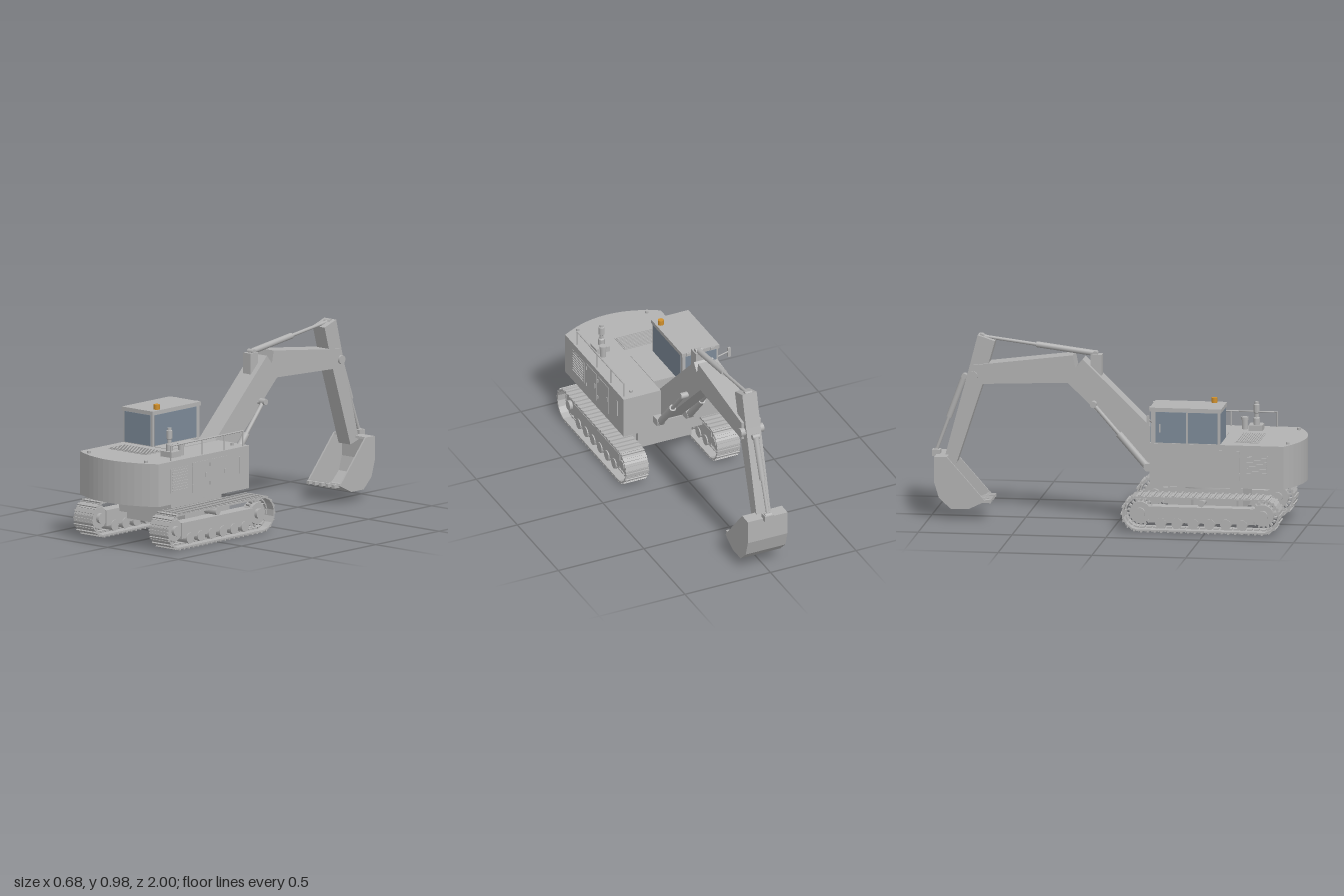
import * as THREE from 'three';
import { mergeGeometries } from 'three/addons/utils/BufferGeometryUtils.js';

const std = (name, color) => Object.assign(new THREE.MeshStandardMaterial({ color }), { name });

export function createModel() {
  const grey = std('grey paint', 0xb2b2b2);
  const glass = std('tinted glass', 0x7c8997);
  const amber = std('amber', 0xd0902c);

  const root = new THREE.Group();
  root.name = 'excavator';
  const machine = new THREE.Group();
  machine.name = 'machine';
  machine.position.x = 0.004;
  root.add(machine);

  const add = (name, geo, mat = grey, parent = machine) => {
    const m = new THREE.Mesh(geo, mat);
    m.name = name;
    parent.add(m);
    return m;
  };
  // box given by its limits on each axis
  const boxGeo = (x0, x1, y0, y1, z0, z1) =>
    new THREE.BoxGeometry(x1 - x0, y1 - y0, z1 - z0).translate((x0 + x1) / 2, (y0 + y1) / 2, (z0 + z1) / 2);
  const box = (name, lim, mat, parent) => add(name, boxGeo(...lim), mat, parent);
  // round bar between two points
  const rodGeo = (a, b, r, sides = 14) => {
    const p = new THREE.Vector3(...a), q = new THREE.Vector3(...b), d = q.clone().sub(p);
    const g = new THREE.CylinderGeometry(r, r, d.length(), sides);
    g.applyQuaternion(new THREE.Quaternion().setFromUnitVectors(new THREE.Vector3(0, 1, 0), d.normalize()));
    const c = p.add(q).multiplyScalar(0.5);
    return g.translate(c.x, c.y, c.z);
  };
  const rod = (name, a, b, r, mat, parent) => add(name, rodGeo(a, b, r), mat, parent);
  const shapeOf = pts => new THREE.Shape(pts.map(p => new THREE.Vector2(...p)));
  // side profile given as (z, y), extruded across x
  const profileGeo = (pts, width, x = 0) =>
    new THREE.ExtrudeGeometry(shapeOf(pts), { depth: width, bevelEnabled: false })
      .translate(0, 0, -width / 2).rotateY(-Math.PI / 2).translate(x, 0, 0);
  // hydraulic cylinder: thick barrel, then thin rod
  const ram = (name, a, b, split, r1, r2) => {
    const g = new THREE.Group();
    g.name = name;
    machine.add(g);
    const mid = a.map((v, i) => v + (b[i] - v) * split);
    rod('barrel', a, mid, r1, grey, g);
    rod('pistonRod', mid, b, r2, grey, g);
    for (const p of [a, b]) rod('pin', [p[0] - 0.02, p[1], p[2]], [p[0] + 0.02, p[1], p[2]], r1 * 0.9, grey, g);
  };

  // ---- Tracks ----
  const zA = 0.152, zB = 0.805, yC = 0.1, R = 0.088, L = zB - zA;
  const total = 2 * L + 2 * Math.PI * R, shoes = 52, pitch = total / shoes;
  // point and turning angle on the track loop
  const onLoop = s => {
    const arc = Math.PI * R;
    if (s < L) return [zA + s, yC + R, 0];
    if ((s -= L) < arc) { const t = s / R; return [zB + R * Math.sin(t), yC + R * Math.cos(t), t]; }
    if ((s -= arc) < L) return [zB - s, yC - R, Math.PI];
    const t = Math.PI + (s - L) / R;
    return [zA + R * Math.sin(t), yC + R * Math.cos(t), t];
  };
  for (const side of [-1, 1]) {
    const track = new THREE.Group();
    track.name = side > 0 ? 'leftTrack' : 'rightTrack';
    track.position.x = side * 0.267;
    machine.add(track);

    const belt = [];
    for (let i = 0; i < shoes; i++) {
      const [z, y, t] = onLoop(i * pitch);
      const shoe = [
        boxGeo(-0.067, 0.067, -0.004, 0.004, -pitch * 0.53, pitch * 0.53),
        boxGeo(-0.067, 0.067, 0.004, 0.0115, -0.005, 0.005),
        boxGeo(-0.067, 0.067, 0.004, 0.007, 0.011, 0.016),
        boxGeo(-0.022, 0.022, -0.012, -0.004, -pitch * 0.36, pitch * 0.36),
      ];
      for (const g of shoe) belt.push(g.rotateX(t).translate(0, y, z));
    }
    add('trackShoes', mergeGeometries(belt), grey, track);

    box('trackFrame', [-0.036, 0.036, 0.05, 0.135, 0.2, 0.757], grey, track);
    for (const z of [zA, zB]) {
      rod('sprocket', [-0.03, yC, z], [0.03, yC, z], 0.058, grey, track);
      rod('hub', [-0.048, yC, z], [0.048, yC, z], 0.027, grey, track);
      const teeth = [];
      for (let i = 0; i < 18; i++)
        teeth.push(boxGeo(-0.012, 0.012, 0.055, 0.072, -0.005, 0.005).rotateX(i * Math.PI / 9).translate(0, yC, z));
      add('sprocketTeeth', mergeGeometries(teeth), grey, track);
    }
    for (let i = 0; i < 6; i++) {
      const z = 0.262 + i * 0.0866;
      rod('roadRoller', [-0.042, 0.047, z], [0.042, 0.047, z], 0.029, grey, track);
    }
    rod('carrierRoller', [-0.042, 0.158, 0.478], [0.042, 0.158, 0.478], 0.019, grey, track);
    const beam = [0.15, 0.235];
    for (const z of [0.36, 0.6])
      box('axleBeam', [...(side > 0 ? beam : beam.map(v => -v).reverse()), 0.117, 0.18, z - 0.055, z + 0.055]);
  }

  // ---- Undercarriage and slew ring ----
  box('carBody', [-0.156, 0.156, 0.092, 0.215, 0.28, 0.68]);
  add('slewRing', new THREE.CylinderGeometry(0.189, 0.189, 0.03, 28).translate(0, 0.227, 0.478));

  // ---- Upper body with boom recess and curved counterweight ----
  const W = 0.279, plan = [[-W, 0.2], [-0.062, 0.2], [-0.062, 0.29], [0.062, 0.29], [0.062, 0.2], [W, 0.2]];
  for (let i = 0; i <= 14; i++) {
    const u = 1 - i / 7;
    plan.push([u * W, 0.913 + 0.085 * (1 - u * u)]);
  }
  add('upperBody', new THREE.ExtrudeGeometry(shapeOf(plan), { depth: 0.23, bevelEnabled: false })
    .rotateX(Math.PI / 2).translate(0, 0.47, 0));
  box('recessFloor', [-0.062, 0.062, 0.24, 0.28, 0.2, 0.3]);
  box('centreCover', [-0.06, 0.06, 0.469, 0.473, 0.291, 0.572]);
  for (const [x, z] of [[-0.204, 0.925], [0.2, 0.925], [0.21, 0.255]])
    rod('topBolt', [x, 0.47, z], [x, 0.482, z], 0.01);

  // engine cover grille
  box('grilleBase', [-0.205, 0.061, 0.469, 0.473, 0.642, 0.768]);
  for (let i = 0; i < 10; i++)
    box('grilleSlat', [-0.2, 0.056, 0.472, 0.478, 0.648 + i * 0.012, 0.654 + i * 0.012]);

  // side grilles, doors and handles
  for (const s of [-1, 1]) {
    const sidePlate = (name, out, y0, y1, z0, z1) => {
      const a = s * (W - 0.001), b = s * (W + out);
      box(name, [Math.min(a, b), Math.max(a, b), y0, y1, z0, z1]);
    };
    const [g0, g1, h0, h1] = s > 0 ? [0.68, 0.82, 0.3, 0.43] : [0.71, 0.83, 0.31, 0.415];
    sidePlate('sideGrille', 0.002, h0, h1, g0, g1);
    for (let i = 0; i < 8; i++) {
      const y = h0 + 0.008 + i * (h1 - h0 - 0.01) / 8;
      sidePlate('sideSlat', 0.007, y, y + 0.006, g0 + 0.008, g1 - 0.008);
    }
    for (const [z0, z1] of s > 0 ? [[0.53, 0.65], [0.38, 0.51]] : [[0.57, 0.68]]) {
      sidePlate('serviceDoor', 0.0025, 0.28, 0.44, z0, z1);
      sidePlate('doorHandle', 0.007, 0.35, 0.375, z0 + 0.01, z0 + 0.018);
      for (const y of [0.305, 0.405]) sidePlate('doorHinge', 0.006, y, y + 0.018, z1 - 0.006, z1 + 0.002);
    }
  }
  box('sideStep', [W - 0.001, W + 0.004, 0.33, 0.42, 0.27, 0.28]);

  // ---- Cab ----
  const cab = new THREE.Group();
  cab.name = 'cab';
  machine.add(cab);
  box('cabShell', [-0.276, -0.068, 0.465, 0.642, 0.206, 0.574], grey, cab);
  box('cabRoof', [-0.281, -0.063, 0.64, 0.661, 0.2, 0.581], grey, cab);
  for (const z of [0.205, 0.575])
    box('endWindow', [-0.264, -0.084, 0.474, 0.638, z - 0.002, z + 0.002], glass, cab);
  for (const x of [-0.277, -0.067])
    box('sideWindow', [x - 0.002, x + 0.002, 0.474, 0.638, 0.23, 0.56], glass, cab);
  box('cabDoorPillar', [-0.281, -0.276, 0.474, 0.638, 0.395, 0.403], grey, cab);
  box('cabDoorHandle', [-0.288, -0.276, 0.53, 0.575, 0.25, 0.258], grey, cab);
  rod('beacon', [-0.09, 0.66, 0.517], [-0.09, 0.688, 0.517], 0.016, amber, cab);
  for (const x of [-0.24, -0.1]) box('workLight', [x - 0.012, x + 0.012, 0.645, 0.66, 0.192, 0.202], grey, cab);
  rod('mirrorArm', [-0.274, 0.583, 0.21], [-0.333, 0.605, 0.2], 0.004, grey, cab);
  box('mirror', [-0.344, -0.329, 0.574, 0.628, 0.194, 0.206], grey, cab);

  // ---- Exhaust, filter and handrail ----
  box('exhaustBase', [0.136, 0.216, 0.469, 0.5, 0.665, 0.738]);
  const profile = [[0, 0.5], [0.018, 0.5], [0.018, 0.535], [0.011, 0.54], [0.011, 0.56], [0.016, 0.565],
    [0.016, 0.607], [0.011, 0.61], [0.011, 0.622], [0, 0.622]].map(p => new THREE.Vector2(...p));
  add('exhaustPipe', new THREE.LatheGeometry(profile, 16).toNonIndexed().translate(0.167, 0, 0.704)).geometry.computeVertexNormals();
  rod('airFilter', [0.19, 0.47, 0.638], [0.19, 0.525, 0.638], 0.017);
  rod('airFilterCap', [0.19, 0.52, 0.638], [0.19, 0.534, 0.638], 0.02);
  rod('handrail', [0.264, 0.55, 0.8], [0.264, 0.55, 0.23], 0.004);
  for (const z of [0.8, 0.553, 0.38, 0.233]) rod('handrailPost', [0.264, 0.47, z], [0.264, 0.552, z], 0.004);

  // ---- Boom ----
  add('lowerBoom', profileGeo([[0.285, 0.405], [0.285, 0.3], [0.195, 0.289], [-0.27, 0.738], [-0.238, 0.81], [-0.19, 0.866]], 0.112));
  add('upperBoom', profileGeo([[-0.225, 0.8], [-0.27, 0.738], [-0.773, 0.717], [-0.773, 0.818], [-0.243, 0.886]], 0.112));
  box('boomBracket', [-0.026, 0.026, 0.775, 0.886, -0.152, -0.094]);
  rod('armPivot', [-0.067, 0.762, -0.773], [0.067, 0.762, -0.773], 0.024);
  for (const x of [-0.085, 0.085]) {
    ram('boomRam', [x, 0.305, 0.157], [x, 0.632, -0.128], 0.53, 0.019, 0.011);
    box('boomRamBracket', [x - 0.022, x + 0.022, 0.285, 0.325, 0.15, 0.205]);
  }
  rod('boomRamPin', [-0.1, 0.625, -0.122], [0.1, 0.625, -0.122], 0.009);

  // ---- Arm ----
  add('arm', profileGeo([[-0.66, 0.947], [-0.725, 0.717], [-0.864, 0.29], [-0.93, 0.31], [-0.8, 0.79], [-0.752, 0.977]], 0.084));
  ram('armRam', [0, 0.89, -0.13], [0, 0.966, -0.735], 0.52, 0.016, 0.009);
  ram('bucketRam', [0, 0.75, -0.828], [0, 0.345, -0.978], 0.55, 0.016, 0.009);
  box('bucketLink', [-0.026, 0.026, 0.318, 0.352, -0.998, -0.955]);

  // ---- Bucket ----
  const bucket = new THREE.Group();
  bucket.name = 'bucket';
  machine.add(bucket);
  const outer = [[-0.905, 0.332], [-0.974, 0.33], [-0.974, 0.2], [-0.948, 0.115], [-0.886, 0.056], [-0.79, 0.056], [-0.7, 0.1]];
  const inner = outer.map(([z, y], i) => i === 0 || i === 6
    ? [z + (i ? -0.004 : 0.002), y + (i ? 0.01 : -0.012)]
    : [z + (-0.83 - z) * 0.09, y + (0.21 - y) * 0.09]);
  add('bucketShell', profileGeo([...outer, ...inner.reverse()], 0.226), grey, bucket);
  for (const x of [-0.111, 0.111]) add('bucketSide', profileGeo(outer, 0.01, x), grey, bucket);
  for (let i = -2; i <= 2; i++)
    box('bucketTooth', [i * 0.045 - 0.009, i * 0.045 + 0.009, 0.088, 0.106, -0.72, -0.673], grey, bucket);

  return root;
}
